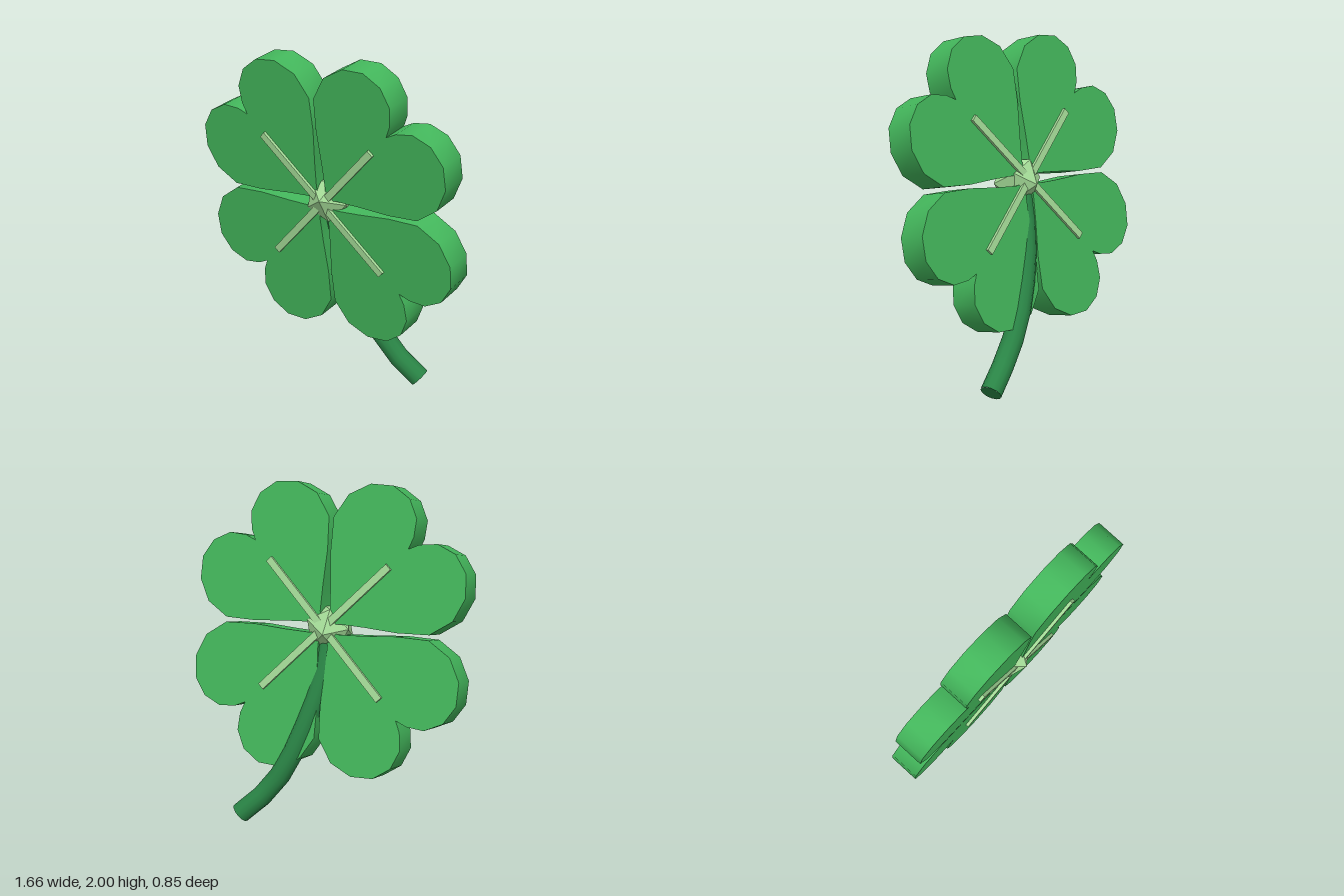
import * as THREE from 'three';
import { toCreasedNormals } from 'three/addons/utils/BufferGeometryUtils.js';

export function createModel() {
  const model = new THREE.Group();
  model.name = 'clover';

  const mat = (name, color) => {
    const m = new THREE.MeshStandardMaterial({ color });
    m.name = name;
    return m;
  };
  const leafGreen = mat('leaf green', 0x43b65b);
  const stemGreen = mat('stem green', 0x2a8546);
  const paleGreen = mat('pale green', 0xa5dc98);

  const add = (parent, name, geometry, material) => {
    const mesh = new THREE.Mesh(geometry, material);
    mesh.name = name;
    parent.add(mesh);
    return mesh;
  };

  // Blossom, turned and tipped as one piece
  const head = new THREE.Group();
  head.name = 'cloverHead';
  head.position.set(0, 1.165, 0);
  head.rotation.set(0.165, -0.35, 0, 'YXZ');
  model.add(head);

  // Heart-shaped leaf: one half outline, mirrored across the diagonal
  const half = [
    [0.03, 0.1], [0.024, 0.25], [0.01, 0.45], [0.015, 0.64], [0.1, 0.77],
    [0.23, 0.833], [0.365, 0.827], [0.468, 0.758], [0.518, 0.65], [0.508, 0.545],
  ];
  const outline = [
    [0.02, 0.02], ...half, [0.48, 0.48],
    ...half.map(([x, y]) => [y, x]).reverse(),
  ].map(([x, y]) => new THREE.Vector2(x, y));
  const depth = 0.18;
  const leaf = toCreasedNormals(
    new THREE.ExtrudeGeometry(new THREE.Shape(outline), { depth, bevelEnabled: false })
      .translate(0, 0, -depth / 2), 0.75);

  // Four leaves, each with a pale vein showing on both sides
  const vein = new THREE.BoxGeometry(0.53, 0.042, 0.216).translate(0.265, 0, 0);
  for (let i = 0; i < 4; i++) {
    const turn = i * Math.PI / 2;
    add(head, 'leaf' + (i + 1), leaf, leafGreen).rotation.z = turn;
    add(head, 'vein' + (i + 1), vein, paleGreen).rotation.z = turn + Math.PI / 4;
  }

  // Faceted centre
  const core = new THREE.IcosahedronGeometry(0.148, 0);
  add(head, 'centre', core, paleGreen).rotation.set(0.3, 0.2, 0.1);

  // Curved stem leaving the back of the leaves
  const path = new THREE.CatmullRomCurve3([
    [0, 1.1, -0.03], [0.05, 0.85, -0.08], [0.14, 0.6, -0.11],
    [0.24, 0.38, -0.115], [0.35, 0.21, -0.1], [0.53, 0.045, -0.088],
  ].map((p) => new THREE.Vector3(...p)));
  const stem = new THREE.Group();
  stem.name = 'stem';
  model.add(stem);
  add(stem, 'stalk', new THREE.TubeGeometry(path, 7, 0.062, 12), stemGreen);
  for (const t of [0, 1]) {
    const cap = add(stem, t ? 'stalkEnd' : 'stalkRoot', new THREE.CircleGeometry(0.062, 12), stemGreen);
    cap.position.copy(path.getPointAt(t));
    cap.quaternion.setFromUnitVectors(
      new THREE.Vector3(0, 0, 1), path.getTangentAt(t).multiplyScalar(t ? 1 : -1));
  }

  return model;
}
